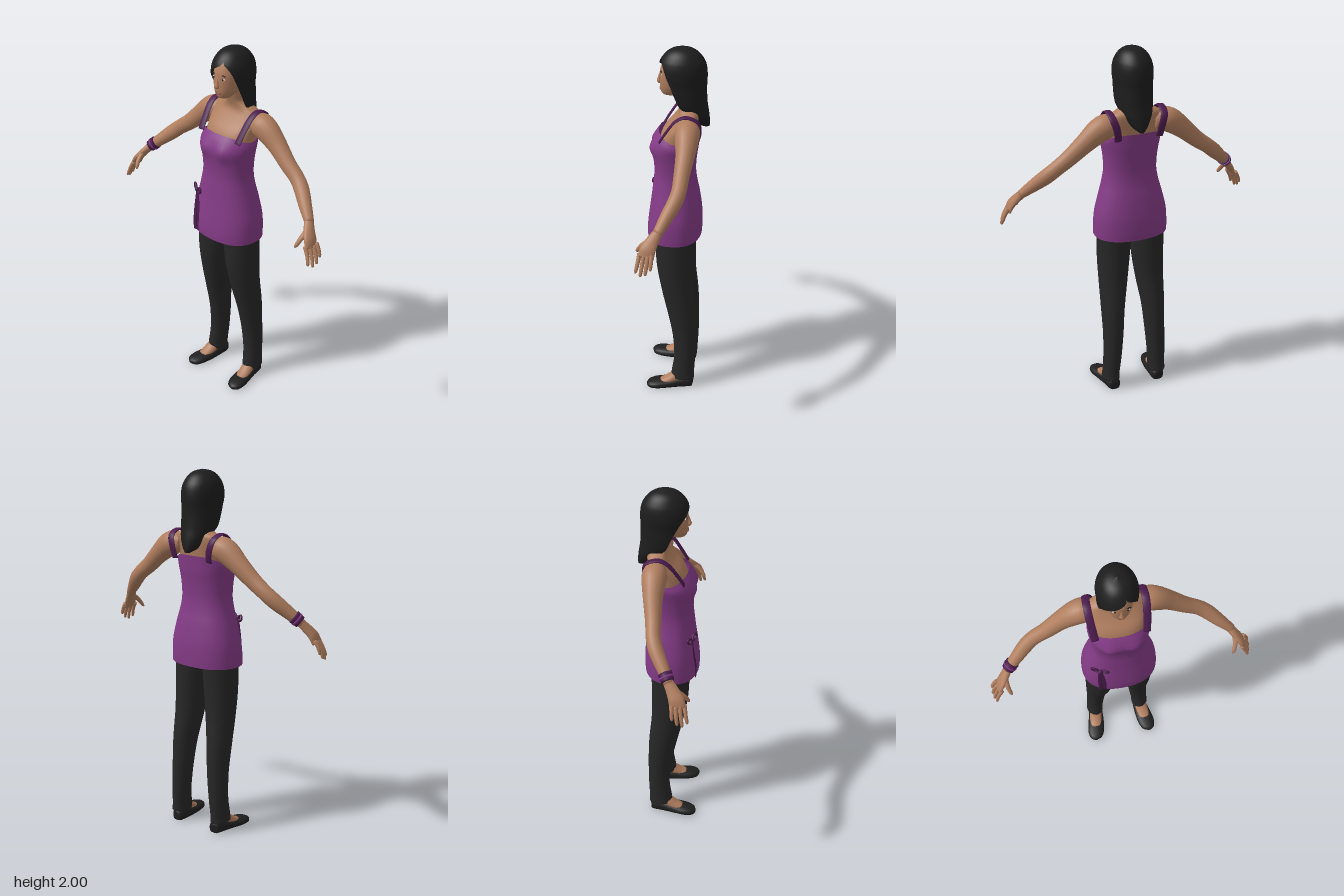
import * as THREE from 'three';

const mat = (name, color, side = THREE.FrontSide) => {
  const m = new THREE.MeshStandardMaterial({ color, side });
  m.name = name;
  return m;
};

// Catmull-Rom interpolation over rows of numbers
function smoothRows(rows, sub) {
  const out = [];
  const at = i => rows[Math.min(rows.length - 1, Math.max(0, i))];
  for (let i = 0; i < rows.length - 1; i++) {
    for (let k = 0; k < sub; k++) {
      const t = k / sub;
      out.push(rows[i].map((b, c) => {
        const a = at(i - 1)[c], d = at(i + 1)[c], e = at(i + 2)[c];
        return b + 0.5 * t * (d - a + t * (2 * a - 5 * b + 4 * d - e + t * (3 * (b - d) + e - a)));
      }));
    }
  }
  out.push(rows[rows.length - 1]);
  return out;
}

function build(pos, idx) {
  const g = new THREE.BufferGeometry();
  g.setAttribute('position', new THREE.Float32BufferAttribute(pos, 3));
  g.setIndex(idx);
  g.computeVertexNormals();
  return g;
}

// Closed cross-sections along a path; row = [x, y, z, radius along ref, other radius]
function loft(rows, { n = 20, sub = 4, ref = [0, 0, 1], flat = false, e = 2, cap = true, warp } = {}) {
  const R = smoothRows(rows, sub), pos = [], idx = [];
  const P = R.map(r => new THREE.Vector3(r[0], r[1], r[2]));
  const pw = v => Math.sign(v) * Math.pow(Math.abs(v), 2 / e);
  R.forEach((r, i) => {
    const t = flat ? new THREE.Vector3(0, 1, 0)
      : P[Math.min(i + 1, P.length - 1)].clone().sub(P[Math.max(i - 1, 0)]).normalize();
    const u = new THREE.Vector3(...ref);
    u.addScaledVector(t, -u.dot(t)).normalize();
    const v = t.clone().cross(u);
    for (let j = 0; j < n; j++) {
      const a = j / n * Math.PI * 2;
      const p = P[i].clone().addScaledVector(u, r[3] * pw(Math.cos(a))).addScaledVector(v, r[4] * pw(Math.sin(a)));
      if (warp) warp(p);
      pos.push(p.x, p.y, p.z);
    }
  });
  for (let i = 0; i < R.length - 1; i++) {
    for (let j = 0; j < n; j++) {
      const a = i * n + j, b = i * n + (j + 1) % n;
      idx.push(a, b, a + n, b, b + n, a + n);
    }
  }
  if (cap) {
    const last = (R.length - 1) * n, c = R.length * n;
    pos.push(...P[0].toArray(), ...P[P.length - 1].toArray());
    for (let j = 0; j < n; j++) {
      const k = (j + 1) % n;
      idx.push(c, k, j, c + 1, last + j, last + k);
    }
  }
  return build(pos, idx);
}

// Open shell around the head; row = [y, z centre, rx, rz, opening start, opening end]
function hairShell(rows, n = 36) {
  const R = smoothRows(rows, 4), pos = [], idx = [];
  R.forEach(([y, cz, rx, rz, a0, a1]) => {
    for (let j = 0; j <= n; j++) {
      const a = a1 + (a0 + Math.PI * 2 - a1) * j / n;
      pos.push(rx * Math.sin(a), y, cz + rz * Math.cos(a));
    }
  });
  for (let i = 0; i < R.length - 1; i++) {
    for (let j = 0; j < n; j++) {
      const a = i * (n + 1) + j, b = a + n + 1;
      idx.push(a, a + 1, b, a + 1, b + 1, b);
    }
  }
  return build(pos, idx);
}

export function createModel() {
  const model = new THREE.Group();
  const skin = mat('skin', 0xb07e5f), hair = mat('hair black', 0x1d1d1e, THREE.DoubleSide);
  const purple = mat('purple cloth', 0x843b86, THREE.DoubleSide);
  const dark = mat('dark purple trim', 0x4b1c4d, THREE.DoubleSide);
  const trousers = mat('trouser black', 0x272728), leather = mat('shoe black', 0x1f1f20);
  const lip = mat('lip', 0x8f5548), white = mat('eye white', 0xcfc4ba);
  const add = (name, geo, m, parent = model) => {
    const mesh = new THREE.Mesh(geo, m);
    mesh.name = name;
    parent.add(mesh);
    return mesh;
  };
  const X = [1, 0, 0];
  const level = ([y, cz, rx, rz]) => [0, y, cz, rx, rz];
  const blob = (name, x, y, z, sx, sy, sz, m) => {
    const b = add(name, new THREE.SphereGeometry(1, 14, 10), m);
    b.position.set(x, y, z);
    b.scale.set(sx, sy, sz);
    return b;
  };

  // Chest, shoulders and neck
  add('upperBody', loft([
    [1.38, 0.01, 0.125, 0.09], [1.5, 0, 0.14, 0.095], [1.56, -0.015, 0.145, 0.088], [1.61, -0.04, 0.15, 0.07],
    [1.655, -0.058, 0.14, 0.056], [1.682, -0.056, 0.095, 0.05], [1.71, -0.048, 0.057, 0.05],
    [1.75, -0.035, 0.05, 0.05], [1.8, -0.025, 0.05, 0.05]].map(level), { ref: X, flat: true, e: 2.4, n: 32 }), skin);

  // Head and face
  add('head', loft([
    [1.742, 0.038, 0.016, 0.026], [1.753, 0.038, 0.037, 0.046], [1.78, 0.024, 0.055, 0.069], [1.81, 0.01, 0.066, 0.085],
    [1.85, 0, 0.072, 0.095], [1.89, -0.01, 0.074, 0.1], [1.94, -0.02, 0.066, 0.088], [1.97, -0.02, 0.035, 0.05]]
    .map(level), { ref: X, flat: true, e: 2.15, n: 32 }), skin);
  add('nose', loft([[0, 1.866, 0.088, 0.006, 0.006], [0, 1.835, 0.096, 0.008, 0.009],
    [0, 1.816, 0.1, 0.014, 0.011], [0, 1.806, 0.094, 0.01, 0.006]], { ref: X, n: 12 }), skin);
  blob('upperLip', 0, 1.782, 0.091, 0.022, 0.004, 0.005, lip);
  blob('lowerLip', 0, 1.775, 0.09, 0.018, 0.005, 0.006, lip);
  for (const s of [1, -1]) {
    blob('eye', s * 0.031, 1.857, 0.083, 0.014, 0.006, 0.005, white);
    blob('iris', s * 0.031, 1.857, 0.087, 0.006, 0.006, 0.003, hair);
    blob('eyebrow', s * 0.033, 1.877, 0.084, 0.017, 0.003, 0.005, hair).rotation.z = -s * 0.12;
  }

  // Long hair, swept aside over the forehead
  add('hair', hairShell([
    [1.575, -0.145, 0.012, 0.018, -0.3, 0.3], [1.6, -0.117, 0.042, 0.048, -0.7, 0.7],
    [1.65, -0.092, 0.073, 0.068, -1.3, 1.3], [1.7, -0.045, 0.095, 0.107, -1.3, 1.3],
    [1.76, -0.03, 0.1, 0.118, -1.2, 1.2], [1.81, -0.025, 0.1, 0.123, -1.02, 1.08],
    [1.85, -0.023, 0.104, 0.127, -0.82, 0.95], [1.885, -0.022, 0.104, 0.126, -0.5, 0.82],
    [1.915, -0.022, 0.099, 0.12, -0.05, 0.62], [1.94, -0.022, 0.09, 0.108, 0.28, 0.34],
    [1.97, -0.022, 0.07, 0.083, 0.3, 0.3], [1.99, -0.022, 0.042, 0.05, 0.3, 0.3],
    [2, -0.022, 0.002, 0.002, 0.3, 0.3]]), hair);

  // Flared sleeveless top with a gentle bust and lower sides
  add('top', loft([
    [0.95, 0.017, 0.205, 0.147], [1.0, 0.016, 0.205, 0.148], [1.08, 0.013, 0.199, 0.142], [1.18, 0.013, 0.175, 0.128],
    [1.25, 0.016, 0.156, 0.117], [1.32, 0.016, 0.144, 0.11], [1.4, 0.016, 0.147, 0.115], [1.47, 0.015, 0.157, 0.124],
    [1.52, 0.005, 0.16, 0.118], [1.555, -0.008, 0.153, 0.108]].map(level), {
    ref: X, flat: true, e: 2.3, n: 48, cap: false, warp: p => {
      if (p.z > 0.03) p.z += 0.014 * Math.exp(-((Math.abs(p.x) - 0.068) ** 2) / 0.0016 - ((p.y - 1.465) ** 2) / 0.002);
      if (p.y > 1.46) p.y -= (p.y - 1.46) * 0.4 * Math.pow(Math.abs(p.x) / 0.157, 4);
    }
  }), purple);

  // Side tie: bow loops, knot and hanging ends
  const tie = new THREE.Group();
  tie.name = 'sideTie';
  model.add(tie);
  for (const s of [1, -1]) {
    const loop = add('bowLoop', new THREE.TorusGeometry(0.02, 0.006, 8, 18), dark, tie);
    loop.position.set(-0.122 + s * 0.024, 1.195, 0.128 + s * 0.01);
    loop.scale.set(1.1, 0.75, 1);
    loop.rotation.set(0, -0.5, s * 0.6);
    add('tieEnd', loft([[-0.122, 1.19, 0.13, 0.007, 0.003], [-0.118 + s * 0.009, 1.1, 0.138, 0.01, 0.003],
      [-0.112 + s * 0.012, 1.03, 0.148, 0.012, 0.003], [-0.108 + s * 0.012, 0.955, 0.151, 0.014, 0.003]],
      { ref: X, n: 10 }), dark, tie);
  }
  const knot = add('knot', new THREE.SphereGeometry(0.011, 12, 8), dark, tie);
  knot.position.set(-0.122, 1.193, 0.133);

  for (const s of [1, -1]) {
    const side = s > 0 ? 'left' : 'right';
    const limb = (name, rows, m, opt) => add(side + name, loft(rows.map(r => [r[0] * s, ...r.slice(1)]), opt), m);

    // Shoulder strap
    limb('Strap', [[0.132, 1.53, 0.085, 0.02, 0.006], [0.138, 1.585, 0.052, 0.02, 0.006], [0.145, 1.65, 0.004, 0.02, 0.006],
      [0.147, 1.676, -0.05, 0.02, 0.006], [0.142, 1.65, -0.112, 0.02, 0.006], [0.125, 1.59, -0.125, 0.02, 0.006],
      [0.115, 1.53, -0.112, 0.02, 0.006]], dark, { ref: X, n: 12 });

    // Arm
    limb('Arm', [[0.1, 1.605, -0.06, 0.045, 0.045], [0.16, 1.603, -0.062, 0.064, 0.065], [0.21, 1.58, -0.062, 0.061, 0.065],
      [0.28, 1.525, -0.06, 0.049, 0.053], [0.36, 1.455, -0.05, 0.041, 0.045], [0.43, 1.403, -0.043, 0.038, 0.041],
      [0.48, 1.36, -0.025, 0.038, 0.041], [0.54, 1.305, 0.012, 0.033, 0.034], [0.6, 1.25, 0.048, 0.025, 0.023]], skin);

    // Hand with four fingers and a thumb
    limb('Palm', [[0.592, 1.257, 0.043, 0.025, 0.022], [0.62, 1.22, 0.07, 0.033, 0.02],
      [0.645, 1.185, 0.09, 0.04, 0.018], [0.66, 1.15, 0.098, 0.04, 0.013]], skin);
    const fingers = [[0.647, 1.165, 0.13, 0.683, 1.075, 0.146], [0.658, 1.16, 0.109, 0.694, 1.062, 0.122],
      [0.665, 1.16, 0.088, 0.698, 1.072, 0.097], [0.667, 1.168, 0.068, 0.696, 1.098, 0.072]];
    for (const [x, y, z, a, b, c] of fingers) {
      limb('Finger', [[x, y, z, 0.011, 0.012], [(x + a) / 2 + 0.006, (y + b) / 2, (z + c) / 2, 0.01, 0.01],
        [a, b + 0.008, c, 0.008, 0.008], [a, b, c, 0.003, 0.003]], skin, { n: 10 });
    }
    limb('Thumb', [[0.617, 1.225, 0.08, 0.016, 0.014], [0.612, 1.195, 0.118, 0.013, 0.012],
      [0.602, 1.16, 0.144, 0.01, 0.01], [0.596, 1.147, 0.15, 0.004, 0.004]], skin, { n: 10, ref: X });

    // Trouser leg
    limb('TrouserLeg', [[0.085, 1.12, 0.01, 0.085, 0.09], [0.094, 1.02, 0.012, 0.095, 0.108], [0.096, 0.94, 0.012, 0.095, 0.104],
      [0.102, 0.8, 0.01, 0.089, 0.1], [0.11, 0.65, -0.004, 0.078, 0.088], [0.121, 0.5, -0.028, 0.065, 0.078],
      [0.126, 0.35, -0.045, 0.057, 0.066], [0.134, 0.2, -0.049, 0.051, 0.06], [0.14, 0.1, -0.04, 0.047, 0.064],
      [0.142, 0.06, -0.038, 0.049, 0.066]], trousers, { ref: X, n: 28 });

    // Foot and flat shoe
    limb('Foot', [[0.14, 0.13, -0.045, 0.035, 0.035], [0.142, 0.077, -0.018, 0.036, 0.036],
      [0.15, 0.044, 0.037, 0.036, 0.024], [0.156, 0.03, 0.085, 0.03, 0.014]], skin, { ref: X });
    limb('Shoe', [[0.135, 0.028, -0.098, 0.012, 0.018], [0.135, 0.028, -0.085, 0.034, 0.036], [0.14, 0.024, -0.02, 0.041, 0.034],
      [0.15, 0.019, 0.05, 0.048, 0.027], [0.162, 0.017, 0.11, 0.049, 0.024], [0.17, 0.014, 0.15, 0.035, 0.018],
      [0.172, 0.012, 0.166, 0.008, 0.008]], leather, { ref: X, e: 2.3, warp: p => { p.y = Math.max(0, p.y); } });
  }

  // Bracelet on the right wrist
  add('bracelet', loft([[-0.562, 1.286, 0.026, 0.037, 0.036], [-0.592, 1.258, 0.044, 0.033, 0.032]], { n: 24 }), dark);
  add('braceletBand', loft([[-0.574, 1.275, 0.033, 0.038, 0.037], [-0.581, 1.268, 0.0375, 0.037, 0.036]], { n: 24, sub: 2 }), purple);

  return model;
}
